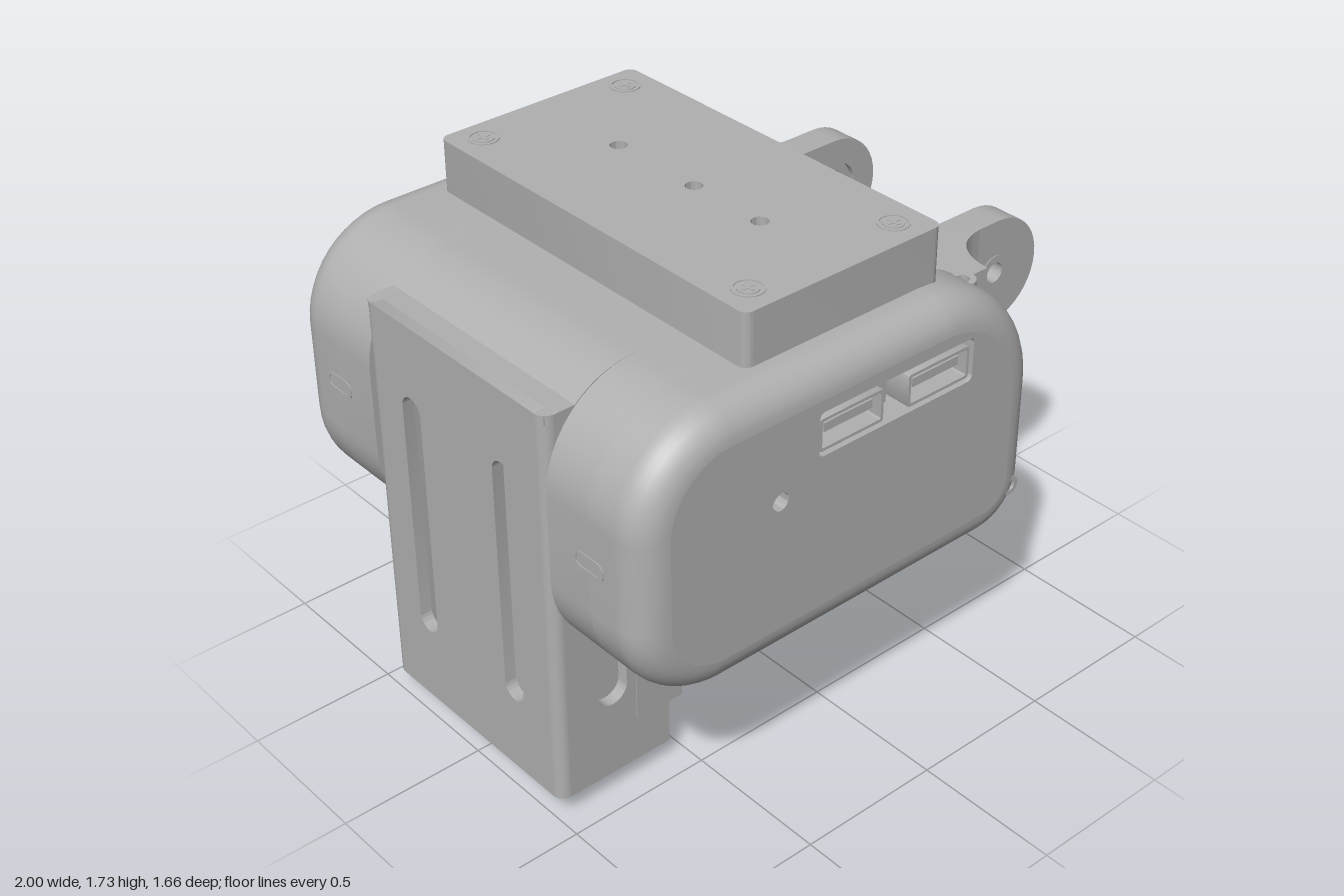
import * as THREE from 'three';
import { toCreasedNormals } from 'three/addons/utils/BufferGeometryUtils.js';

const grey = new THREE.MeshStandardMaterial({ color: 0xb0b0b0, side: THREE.DoubleSide });
grey.name = 'light grey plastic';

// Body outline in x/y, inset by d: corner centres, radii and start angles
function outline(d) {
  const corners = [[0.375, 0.81, 0.2, -90], [0.155, 1.13, 0.42, 0], [-0.67, 1.22, 0.33, 90], [-0.69, 0.92, 0.31, 180]];
  const pts = [];
  for (const [x, y, r, a0] of corners) for (let i = 0; i <= 12; i++) {
    const a = (a0 + i * 7.5) * Math.PI / 180;
    pts.push(new THREE.Vector2(x + (r - d) * Math.cos(a), y + (r - d) * Math.sin(a)));
  }
  return pts;
}

function roundRect(T, x, y, w, h, r) {
  r = Math.min(r, w / 2 - 1e-4, h / 2 - 1e-4);
  const s = new T(), a = x - w / 2, b = y - h / 2, P = Math.PI;
  s.absarc(a + w - r, b + r, r, -P / 2, 0);
  s.absarc(a + w - r, b + h - r, r, 0, P / 2);
  s.absarc(a + r, b + h - r, r, P / 2, P);
  s.absarc(a + r, b + r, r, P, P * 1.5);
  s.closePath();
  return s;
}

export function createModel() {
  const model = new THREE.Group();
  const add = (name, geo, x = 0, y = 0, z = 0) => {
    const m = new THREE.Mesh(geo, grey);
    m.name = name;
    m.position.set(x, y, z);
    model.add(m);
    return m;
  };
  const extrude = (shape, depth) => toCreasedNormals(
    new THREE.ExtrudeGeometry(shape, { depth, bevelEnabled: false, curveSegments: 10 }), 0.6);
  // Centred rounded plate with holes [x, y, w, h, r]; facing z, x or y
  const slab = (name, axis, w, h, depth, r, holes, x, y, z) => {
    const s = roundRect(THREE.Shape, 0, 0, w, h, r);
    for (const [hx, hy, hw, hh, hr = 0.5] of holes) s.holes.push(roundRect(THREE.Path, hx, hy, hw, hh, hr));
    const g = extrude(s, depth).translate(0, 0, -depth / 2);
    if (axis === 'x') g.rotateY(Math.PI / 2);   // plate x runs along -z
    if (axis === 'y') g.rotateX(-Math.PI / 2);  // plate y runs along -z
    return add(name, g, x, y, z);
  };
  const box = (name, w, h, d, x, y, z) => add(name, new THREE.BoxGeometry(w, h, d), x, y, z);
  const disc = (name, r, h, x, y, z) => add(name, new THREE.CylinderGeometry(r, r, h, 28), x, y, z);

  // Rounded end shells, cut inner sections and end faces
  for (const s of [1, -1]) {
    const pos = [], idx = [], n = outline(0).length, rows = 10;
    for (let k = 0; k < rows; k++) {
      const a = Math.max(0, k - 1) / 8 * Math.PI / 2;
      const z = k ? 0.72 + 0.11 * Math.sin(a) : 0.61;
      for (const p of outline(0.11 * (1 - Math.cos(a)))) pos.push(p.x, p.y, s * z);
    }
    for (let k = 0; k < rows - 1; k++) for (let i = 0; i < n; i++) {
      const a = k * n + i, b = k * n + (i + 1) % n, c = a + n, d = b + n;
      idx.push(...(s > 0 ? [a, b, c, b, d, c] : [a, c, b, b, c, d]));
    }
    const skin = new THREE.BufferGeometry();
    skin.setAttribute('position', new THREE.Float32BufferAttribute(pos, 3));
    skin.setIndex(idx);
    skin.computeVertexNormals();
    add('bodyEndShell', skin);

    const face = new THREE.Shape(outline(0.11));
    face.holes.push(roundRect(THREE.Path, -0.48, 1.16, 0.08, 0.08, 1));
    if (s > 0) face.holes.push(roundRect(THREE.Path, -0.035, 1.325, 0.62, 0.15, 0.02));
    const faceGeo = new THREE.ShapeGeometry(face, 10);
    if (s < 0) faceGeo.rotateY(Math.PI).scale(-1, 1, 1);
    add('bodyEndFace', faceGeo, 0, 0, s * 0.83);
    add('bodyInnerWall', new THREE.ShapeGeometry(new THREE.Shape(outline(0))), 0, 0, s * 0.615);

    const cut = outline(0).map(p => (p.x > 0.25 && p.y > 1.43 ? new THREE.Vector2(p.x, 1.43) : p));
    add('bodyInnerSection', extrude(new THREE.Shape(cut), 0.185), 0, 0, s > 0 ? 0.43 : -0.615);
    slab('sideScrewSeat', 'z', 0.1, 0.1, 0.05, 1, [[0, 0, 0.06, 0.06]], -0.48, 1.16, s * 0.795);
    slab('cornerScrew', 'z', 0.065, 0.065, 0.03, 1, [[0, 0, 0.035, 0.035]], 0.495, 0.765, s * 0.81);
    slab('rearVent', 'x', 0.13, 0.06, 0.008, 1, [[0, 0, 0.11, 0.04]], -0.999, 1.08, s * 0.61);
    slab('boardScrewBoss', 'y', 0.08, 0.08, 0.04, 1, [[0, 0, 0.04, 0.04]], 0.385, 1.464, s * 0.67);
  }

  // Middle top panel and bottom trough
  const top = new THREE.Shape();
  top.moveTo(-0.89, 1.42);
  top.lineTo(-0.89, 1.47);
  top.quadraticCurveTo(-0.8, 1.55, -0.67, 1.55);
  top.lineTo(0.25, 1.55);
  top.lineTo(0.25, 1.42);
  add('bodyTopPanel', extrude(top, 0.86), 0, 0, -0.43);
  const trough = new THREE.Shape();
  trough.moveTo(-0.52, 0.61);
  trough.lineTo(0.375, 0.61);
  trough.absarc(0.375, 0.81, 0.2, -Math.PI / 2, 0);
  trough.lineTo(0.575, 0.93);
  trough.lineTo(0.525, 0.93);
  trough.lineTo(0.525, 0.81);
  trough.absarc(0.375, 0.81, 0.15, 0, -Math.PI / 2, true);
  trough.lineTo(-0.52, 0.66);
  add('bodyFrontTrough', extrude(trough, 0.86), 0, 0, -0.43);

  // Top cover with screws and ports
  slab('topCover', 'y', 0.76, 1.4, 0.2, 0.03,
    [[0, 0.3, 0.055, 0.055], [0, -0.05, 0.055, 0.055], [0, -0.34, 0.055, 0.055]], -0.13, 1.627, 0);
  box('coverLowerLip', 0.04, 0.11, 1.2, 0.23, 1.49, 0);
  for (const x of [-0.41, 0.15]) for (const z of [-0.61, 0.6]) {
    slab('coverScrewRim', 'y', 0.1, 0.1, 0.008, 1, [[0, 0, 0.084, 0.084]], x, 1.726, z);
    disc('coverScrew', 0.034, 0.008, x, 1.726, z);
    box('screwCross', 0.045, 0.006, 0.01, x, 1.729, z);
    box('screwCross', 0.01, 0.006, 0.045, x, 1.729, z);
  }
  for (const [z, w] of [[0.46, 0.18], [-0.05, 0.22], [-0.45, 0.18]]) {
    slab('videoPort', 'x', w, 0.07, 0.012, 0.03, [[0, 0, w - 0.025, 0.045, 0.02]], 0.252, 1.58, z);
    box('portTongue', 0.012, 0.012, w - 0.07, 0.252, 1.58, z);
  }
  slab('cardSlot', 'z', 0.32, 0.07, 0.008, 0.01, [[0, 0, 0.29, 0.045, 0.01]], -0.11, 1.62, -0.7);
  box('cardSlotTongue', 0.27, 0.012, 0.006, -0.11, 1.615, -0.7);

  // Paired data ports recessed in the front face
  slab('portRecess', 'z', 0.65, 0.18, 0.13, 0.02, [[0, 0, 0.62, 0.15, 0.02]], -0.035, 1.325, 0.763);
  box('portRecessBack', 0.64, 0.17, 0.01, -0.035, 1.325, 0.7);
  box('portDivider', 0.05, 0.1, 0.05, -0.035, 1.31, 0.73);
  for (const x of [-0.21, 0.14]) {
    slab('dataPort', 'z', 0.25, 0.11, 0.11, 0.01, [[0, 0, 0.23, 0.09, 0.005]], x, 1.315, 0.765);
    box('dataPortTongue', 0.19, 0.03, 0.09, x, 1.325, 0.76);
  }

  // Circuit board, sensor bar and small parts
  box('circuitBoard', 0.24, 0.02, 1.22, 0.32, 1.435, 0);
  box('sensorBar', 0.12, 0.18, 0.57, 0.46, 1.26, -0.025);
  box('sensorBarTop', 0.16, 0.03, 0.62, 0.44, 1.37, -0.01);
  box('boardSupport', 0.3, 0.06, 0.48, 0.3, 1.17, 0);
  box('switchBase', 0.11, 0.07, 0.11, 0.355, 1.47, 0.355);
  box('switchLever', 0.04, 0.07, 0.05, 0.36, 1.535, 0.355);
  for (const z of [-0.27, -0.23, -0.19, -0.15]) disc('boardPin', 0.008, 0.02, 0.305, 1.45, z);
  for (const z of [-0.09, 0.01]) disc('boardButton', 0.018, 0.04, 0.26, 1.45, z);

  // Hinge arms with a concave blend into the body
  const armShape = (hole) => {
    const s = new THREE.Shape();
    s.moveTo(0.42, 0.93);
    s.lineTo(0.57, 0.93);
    s.quadraticCurveTo(0.59, 1.05, 0.7, 1.05);
    s.lineTo(0.815, 1.05);
    s.absarc(0.815, 1.235, 0.185, -Math.PI / 2, Math.PI / 2);
    s.lineTo(0.42, 1.42);
    if (hole) s.holes.push(new THREE.Path().absarc(0.81, 1.235, hole, 0, Math.PI * 2));
    return s;
  };
  add('frontArm', extrude(armShape(0.035), 0.11), 0, 0, 0.31);
  slab('frontArmWasher', 'z', 0.12, 0.12, 0.008, 1, [[0, 0, 0.07, 0.07]], 0.81, 1.235, 0.419);
  slab('frontArmBoss', 'z', 0.17, 0.17, 0.05, 1, [[0, 0, 0.09, 0.09]], 0.81, 1.235, 0.285);
  add('backArm', extrude(armShape(0), 0.07), 0, 0, -0.43);
  add('backArmSocket', extrude(armShape(0.1), 0.04), 0, 0, -0.36);
  slab('backArmRing', 'z', 0.2, 0.2, 0.02, 1, [[0, 0, 0.13, 0.13]], 0.81, 1.235, -0.352);
  for (const s of [1, -1]) {
    const blend = new THREE.Shape();
    blend.moveTo(0.42, -s * 0.4);
    blend.lineTo(0.73, -s * 0.42);
    blend.quadraticCurveTo(0.58, -s * 0.43, 0.57, -s * 0.6);
    blend.lineTo(0.42, -s * 0.6);
    add('armBlend', extrude(blend, 0.37).rotateX(-Math.PI / 2), 0, 1.05, 0);
  }

  // Battery holder: slotted plates with rounded rear edges around a core
  slab('holderBackWall', 'x', 0.78, 1.39, 0.04, 0.005,
    [-0.22, 0.22].map(z => [z, 0.01, 0.09, 0.87]), -0.98, 0.775, 0);
  for (const s of [1, -1]) {
    slab('holderSideWall', 'z', 0.39, 1.39, 0.04, 0.005, [[-0.025, -0.09, 0.11, 0.67]], -0.765, 0.775, s * 0.41);
    const start = s > 0 ? Math.PI * 1.5 : Math.PI;
    add('holderRoundedEdge', new THREE.CylinderGeometry(0.04, 0.04, 1.39, 8, 1, false, start, Math.PI / 2), -0.96, 0.775, s * 0.39);
    box('holderSidePanel', 0.18, 0.38, 0.03, -0.61, 0.43, s * 0.418);
    for (const x of [-0.93, -0.62]) disc('holderFoot', 0.025, 0.006, x, 0.08, s * 0.37);
  }
  const slots = [];
  for (let i = -2; i <= 2; i++) slots.push([i * 0.09, 0.08, 0.05, 0.58]);
  for (const s of [-1, 1]) slots.push([s * 0.23, -0.355, 0.13, 0.13, 0.04], [s * 0.37, -0.37, 0.035, 0.1]);
  slab('holderFrontWall', 'x', 0.86, 0.88, 0.045, 0.01, slots, -0.545, 0.68, 0);
  box('holderLowerWall', 0.03, 0.17, 0.86, -0.585, 0.165, 0);
  slab('holderBottom', 'y', 0.39, 0.84, 0.03, 0.02, [[-0.09, 0, 0.08, 0.24]], -0.77, 0.095, 0);
  box('holderTop', 0.42, 0.03, 0.84, -0.78, 1.455, 0);
  box('batteryCore', 0.3, 1.2, 0.6, -0.75, 0.75, 0);
  // Release tab and hook
  box('releaseTab', 0.035, 0.24, 0.17, -0.535, 0.17, 0);
  const hook = new THREE.Shape([[-0.62, 0.07], [-0.55, 0], [-0.515, 0], [-0.515, 0.07]].map(p => new THREE.Vector2(...p)));
  add('releaseHook', extrude(hook, 0.17), 0, 0, -0.085);
  // Holder bracket
  box('bracketBeam', 0.05, 0.11, 0.46, -0.5, 0.37, 0);
  for (const s of [1, -1]) {
    slab('bracketLug', 'x', 0.07, 0.11, 0.17, 0.01, [[0, 0, 0.04, 0.04]], -0.437, 0.37, s * 0.195);
  }

  // Underside mounting plate, round pads and thumb knobs
  box('undersideStep', 0.53, 0.05, 1.1, -0.155, 0.59, 0);
  const plateHoles = [[0, 0, 0.2, 0.24, 0.03], [-0.1, 0.42, 0.2, 0.24, 0.03], [-0.1, -0.42, 0.2, 0.24, 0.03]];
  for (const x of [-0.28, 0.28]) for (const z of [-0.65, -0.22, 0.22, 0.65]) plateHoles.push([x, z, 0.035, 0.035]);
  slab('mountingPlate', 'y', 0.65, 1.4, 0.035, 0.02, plateHoles, -0.195, 0.55, 0);
  for (const s of [1, -1]) {
    const pad = new THREE.Shape();
    pad.moveTo(0.1, 0.19);
    pad.lineTo(0.1, -0.19);
    pad.absarc(0.235, 0, 0.19, -Math.PI / 2, Math.PI / 2);
    add('knobPad', extrude(pad, 0.008).rotateX(-Math.PI / 2), 0, 0.603, s * 0.47);
    slab('thumbKnob', 'y', 0.104, 0.104, 0.07, 1, [[0, 0, 0.06, 0.06]], 0.235, 0.585, s * 0.47);
    for (let i = 0; i < 16; i++) {
      const a = i / 16 * Math.PI * 2;
      box('knobRidge', 0.01, 0.06, 0.01, 0.235 + 0.052 * Math.cos(a), 0.585, s * 0.47 + 0.052 * Math.sin(a)).rotation.y = -a;
    }
    disc('plateSpacer', 0.05, 0.06, -0.39, 0.585, s * 0.62);
  }
  return model;
}
